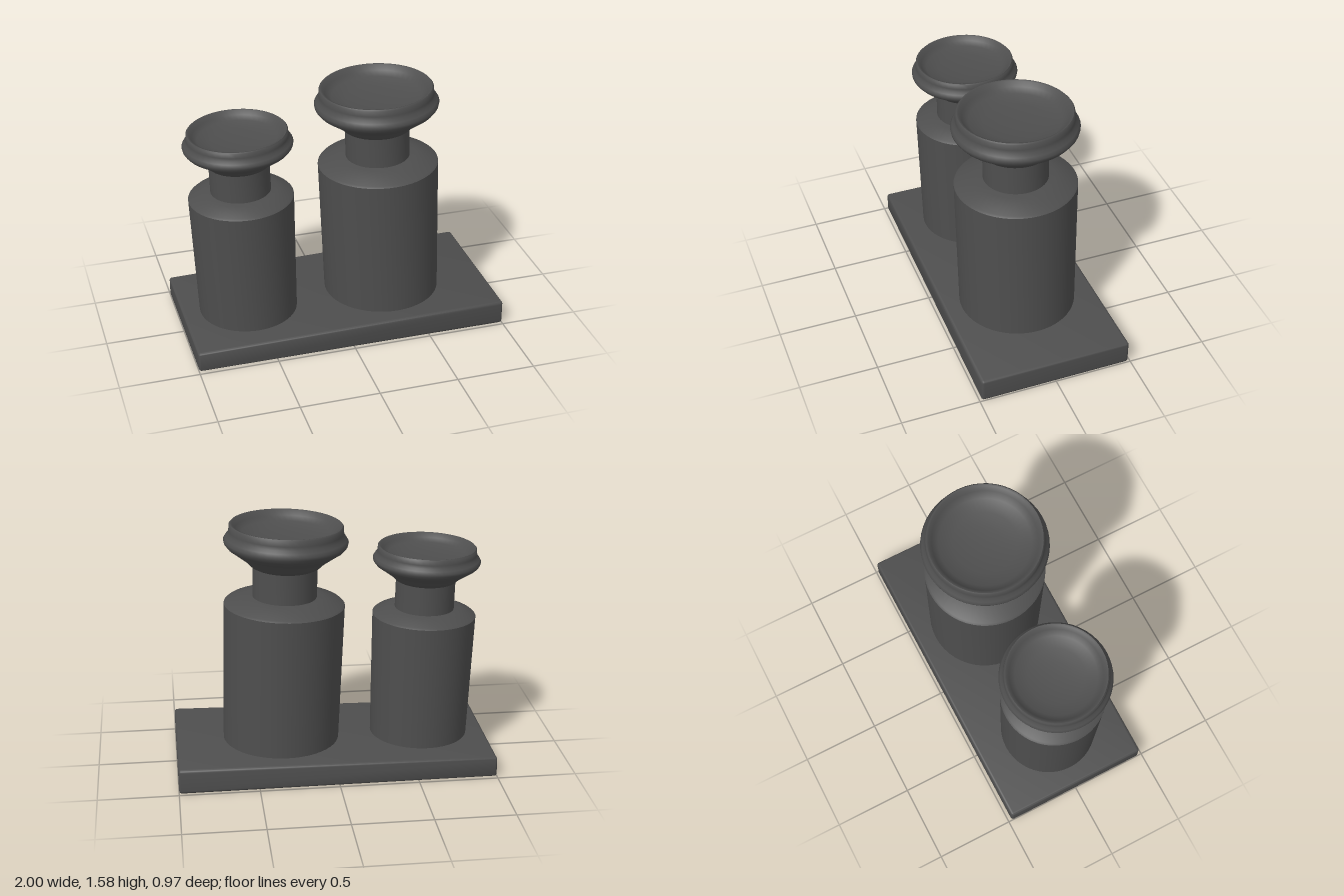
import * as THREE from 'three';
import { toCreasedNormals } from 'three/addons/utils/BufferGeometryUtils.js';
import { RoundedBoxGeometry } from 'three/addons/geometries/RoundedBoxGeometry.js';

const iron = new THREE.MeshStandardMaterial({ color: 0x4e4e4e });
iron.name = 'dark iron';

function addPart(parent, name, geometry) {
  const mesh = new THREE.Mesh(geometry, iron);
  mesh.name = name;
  parent.add(mesh);
  return mesh;
}

// Turned solid from [radius, height] pairs, running up the outside
function turned(profile, crease) {
  const points = profile.map(([r, y]) => new THREE.Vector2(r, y));
  return toCreasedNormals(new THREE.LatheGeometry(points, 48), crease);
}

// Flared head: radii relative to the flange, heights from 0 (neck) to 1 (rim)
const headProfile = [
  [0.5, 0], [0.57, 0.05], [0.66, 0.18], [0.83, 0.36], [0.94, 0.47], [0.99, 0.56],
  [1, 0.63], [0.97, 0.7], [0.93, 0.77], [0.92, 0.85], [0.915, 0.97], [0.895, 1],
  [0.865, 0.99], [0.82, 0.87], [0.72, 0.78], [0.5, 0.71], [0.25, 0.68], [0, 0.67],
];

function bollard(name, s) {
  const group = new THREE.Group();
  group.name = name;
  // Drum with a sloped shoulder
  addPart(group, 'drum', turned([
    [s.bottomR, -0.06], [s.drumR, s.shoulder - 0.01], [s.drumR - 0.012, s.shoulder],
    [s.neckR + 0.04, s.neck], [0, s.neck],
  ], 0.6));
  // Neck
  addPart(group, 'neck', turned([[s.neckR, s.neck - 0.02], [s.neckR, s.head + 0.02]], 0.6));
  // Flared head with a dished top
  addPart(group, 'head', turned(
    headProfile.map(([r, y]) => [r * s.flangeR, s.head + y * (s.rim - s.head)]), 1));
  group.position.set(s.x, s.y, s.z);
  group.rotation.z = s.lean;
  return group;
}

// Base plate, thicker and slightly wider toward +x
function basePlate() {
  const geometry = new RoundedBoxGeometry(2, 0.14, 0.96, 3, 0.018);
  const p = geometry.attributes.position;
  for (let i = 0; i < p.count; i++) {
    const t = (p.getX(i) + 1) / 2;
    const up = (p.getY(i) + 0.07) / 0.14;
    p.setXYZ(i, p.getX(i), up * (0.13 + 0.03 * t), p.getZ(i) * (0.995 + 0.02 * t));
  }
  return toCreasedNormals(geometry, 0.8);
}

export function createModel() {
  const model = new THREE.Group();
  model.name = 'twin bollard';
  addPart(model, 'basePlate', basePlate());

  // Heights are measured from the plate top at each bollard
  model.add(bollard('tallBollard', {
    x: 0.325, y: 0.15, z: 0.005, lean: 0.036,
    bottomR: 0.37, drumR: 0.38, shoulder: 0.91, neck: 0.95, neckR: 0.202,
    head: 1.14, rim: 1.415, flangeR: 0.388,
  }));
  model.add(bollard('shortBollard', {
    x: -0.575, y: 0.14, z: 0.015, lean: 0.03,
    bottomR: 0.312, drumR: 0.328, shoulder: 0.81, neck: 0.845, neckR: 0.188,
    head: 1.02, rim: 1.248, flangeR: 0.34,
  }));
  return model;
}
